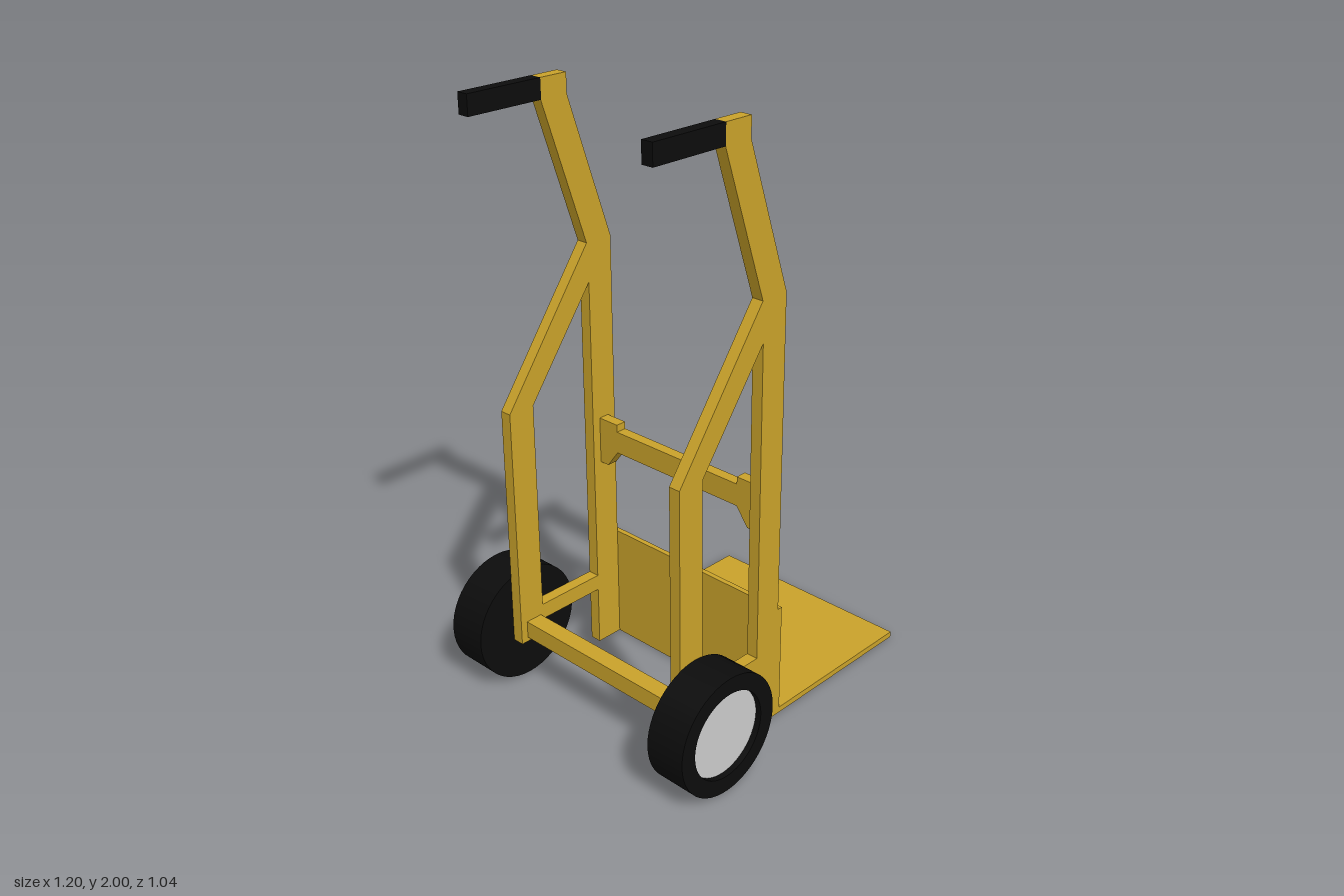
import * as THREE from 'three';
import { toCreasedNormals } from 'three/addons/utils/BufferGeometryUtils.js';

const yellow = new THREE.MeshStandardMaterial({ color: 0xc9a22a });
const black = new THREE.MeshStandardMaterial({ color: 0x0c0c0c });
const grey = new THREE.MeshStandardMaterial({ color: 0xcccccc });

const points = (list) => list.map(([x, y]) => new THREE.Vector2(x, y));

function add(parent, name, geometry, material) {
  const mesh = new THREE.Mesh(geometry, material);
  mesh.name = name;
  parent.add(mesh);
  return mesh;
}

// Box given by its minimum and maximum corners
function box(parent, name, min, max, material) {
  const size = max.map((v, i) => v - min[i]);
  const mesh = add(parent, name, new THREE.BoxGeometry(...size), material);
  mesh.position.set(...max.map((v, i) => (v + min[i]) / 2));
  return mesh;
}

// Flat side frame: upright, bent handle arm, rear strut and lower brace
function sideFrameGeometry() {
  const shape = new THREE.Shape(points([
    [-0.115, 0], [-0.018, 0], [-0.018, 1.46], [-0.18, 1.935], [-0.18, 2],
    [-0.28, 2], [-0.28, 1.93], [-0.12, 1.46], [-0.46, 0.99], [-0.46, 0.155],
    [-0.365, 0.155], [-0.365, 0.21], [-0.115, 0.21],
  ]));
  shape.holes.push(new THREE.Path(points([
    [-0.115, 0.265], [-0.365, 0.265], [-0.365, 0.99], [-0.115, 1.33],
  ])));
  return new THREE.ExtrudeGeometry(shape, { depth: 0.04, bevelEnabled: false });
}

// Cross member with a gusset at each end
function crossMemberGeometry() {
  const half = [[0.26, 0.825], [0.26, 0.85], [0.34, 0.85], [0.34, 0.69], [0.305, 0.69], [0.26, 0.75]];
  const mirrored = half.map(([z, y]) => [-z, y]).reverse();
  const shape = new THREE.Shape(points([...half, ...mirrored]));
  const geometry = new THREE.ExtrudeGeometry(shape, { depth: 0.037, bevelEnabled: false });
  return geometry.rotateY(Math.PI / 2).translate(-0.085, 0, 0);
}

// Wheel with its outer side towards +z
function createWheel() {
  const wheel = new THREE.Group();
  const profile = points([[0, 0], [0.2, 0], [0.2, 0.14], [0.145, 0.14], [0.145, 0.12]]);
  const tire = new THREE.LatheGeometry(profile, 48).rotateX(Math.PI / 2);
  add(wheel, 'tire', toCreasedNormals(tire, 0.6), black);
  const hub = add(wheel, 'hub', new THREE.CylinderGeometry(0.145, 0.145, 0.02, 48), grey);
  hub.rotation.x = Math.PI / 2;
  hub.position.z = 0.11;
  return wheel;
}

export function createModel() {
  const model = new THREE.Group();
  model.name = 'handTruck';

  const frame = sideFrameGeometry();
  for (const side of [1, -1]) {
    const label = side > 0 ? 'Front' : 'Back';
    add(model, 'sideFrame' + label, frame, yellow).position.z = side * 0.36 - 0.02;

    const grip = box(model, 'grip' + label, [-0.55, 1.935, -0.02], [-0.28, 2, 0.02], black);
    grip.position.z = side * 0.36;

    const wheel = createWheel();
    wheel.name = 'wheel' + label;
    wheel.position.set(-0.4, 0.2, side * 0.38);
    if (side < 0) wheel.rotation.y = Math.PI;
    model.add(wheel);
  }

  // Load plates
  box(model, 'backPlate', [-0.018, 0, -0.38], [0, 0.4, 0.38], yellow);
  box(model, 'toePlate', [0, 0, -0.38], [0.6, 0.02, 0.38], yellow);

  // Members joining the two side frames
  add(model, 'crossMember', crossMemberGeometry(), yellow);
  box(model, 'axleBar', [-0.435, 0.17, -0.34], [-0.375, 0.23, 0.34], yellow);

  return model;
}
